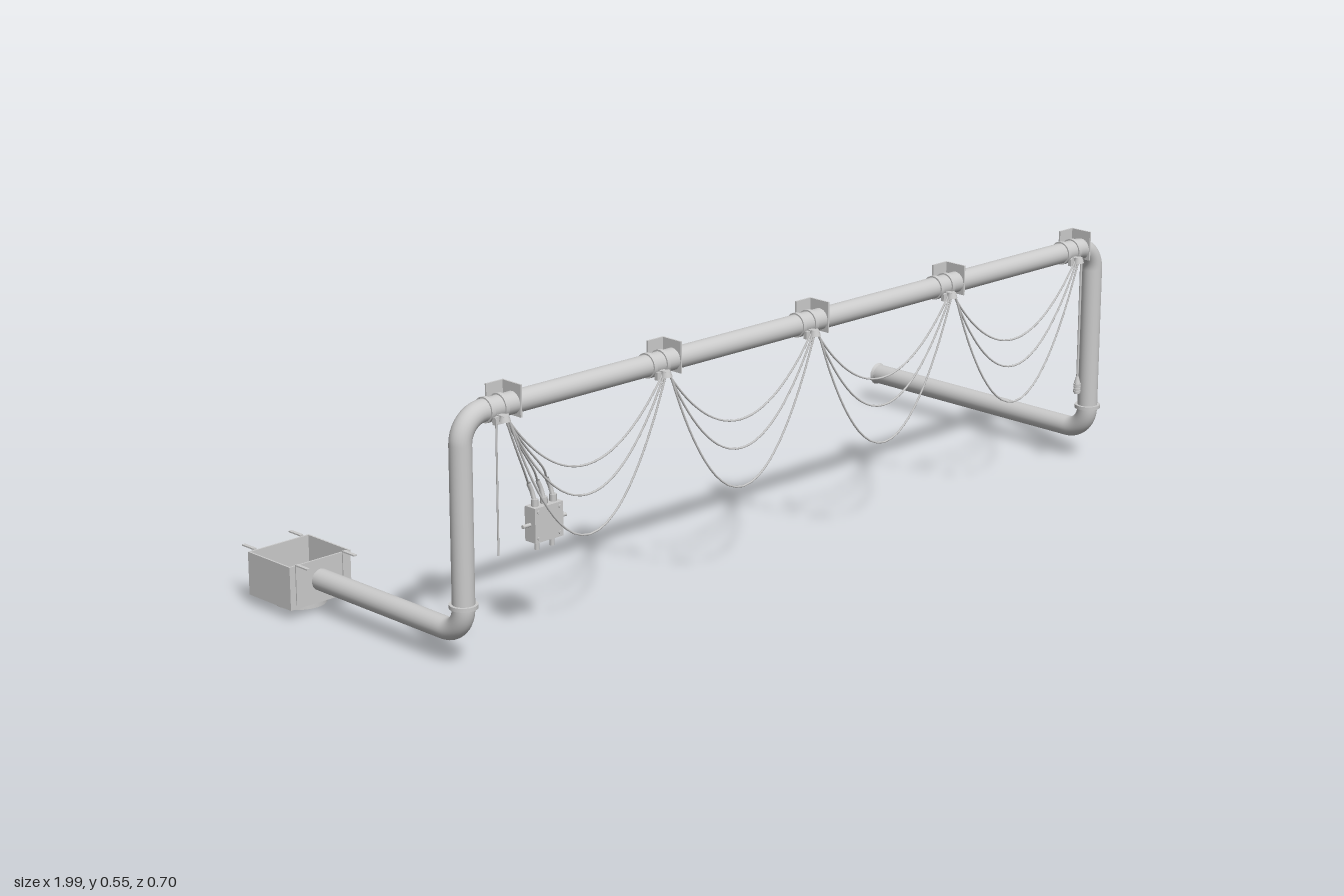
import * as THREE from 'three';

const V = (x, y, z) => new THREE.Vector3(x, y, z);
const mat = new THREE.MeshStandardMaterial({ color: 0xcccccc, side: THREE.DoubleSide });

function add(parent, name, geometry, x = 0, y = 0, z = 0) {
  const mesh = new THREE.Mesh(geometry, mat);
  mesh.name = name;
  mesh.position.set(x, y, z);
  parent.add(mesh);
  return mesh;
}
const group = (parent, name) => {
  const g = new THREE.Group();
  g.name = name;
  parent.add(g);
  return g;
};
const box = (w, h, d) => new THREE.BoxGeometry(w, h, d);
const cyl = (r, h, n = 16, r2 = r) => new THREE.CylinderGeometry(r2, r, h, n);
const cable = (pts, r = 0.0022, n = 32) =>
  new THREE.TubeGeometry(new THREE.CatmullRomCurve3(pts), n, r, 6);

// Hollow ring profile turned round the y axis
const sleeve = (ri, ro, h, n = 28) => new THREE.LatheGeometry(
  [[ri, -h / 2], [ro, -h / 2], [ro, -h / 2], [ro, h / 2], [ro, h / 2], [ri, h / 2], [ri, h / 2], [ri, -h / 2]]
    .map(p => new THREE.Vector2(...p)), n);

// Straight runs joined by rounded elbows
function bentPath(points, bend) {
  const path = new THREE.CurvePath();
  let from = points[0];
  for (let i = 1; i < points.length - 1; i++) {
    const p = points[i];
    const a = p.clone().add(points[i - 1].clone().sub(p).setLength(bend));
    const b = p.clone().add(points[i + 1].clone().sub(p).setLength(bend));
    path.add(new THREE.LineCurve3(from, a));
    // cubic handles that approximate a circular arc
    path.add(new THREE.CubicBezierCurve3(a, a.clone().lerp(p, 0.55), b.clone().lerp(p, 0.55), b));
    from = b;
  }
  path.add(new THREE.LineCurve3(from, points[points.length - 1]));
  return path;
}

const R = 0.0228, XL = -0.922, XR = 0.965, TOP = 0.51, LOW = 0.069, FRONT = 0.302;
const CLIPS = [0, 1, 2, 3, 4].map(i => -0.84 + i * 0.428);
const CABLE_Z = 0.338, CABLE_Y = 0.5;

function addPipe(root) {
  const pipe = group(root, 'pipe');
  const path = bentPath([
    V(XL, LOW, -0.155), V(XL, LOW, FRONT), V(XL, TOP, FRONT),
    V(XR, TOP, FRONT), V(XR, LOW, FRONT), V(XR, LOW, -0.345),
  ], 0.056);
  add(pipe, 'mainPipe', new THREE.TubeGeometry(path, 420, R, 24));
  for (const x of [XL, XR]) add(pipe, 'pipeCollar', sleeve(R, 0.029, 0.008), x, 0.129, FRONT);

  // Flared, dished open end
  const flare = [[R, 0], [R, 0.006], [0.026, 0.012], [0.025, 0.013], [0.017, 0.004], [0, 0]]
    .map(p => new THREE.Vector2(...p));
  add(pipe, 'pipeEnd', new THREE.LatheGeometry(flare, 24), XR, LOW, -0.337).rotation.x = -Math.PI / 2;
}

function addHanger(root, x) {
  const hanger = group(root, 'hanger');
  // Pipe clamp and cable clip
  for (const dx of [-0.018, 0.018])
    add(hanger, 'clampRing', sleeve(R, 0.026, 0.009), x + dx, TOP, FRONT).rotation.z = Math.PI / 2;
  add(hanger, 'clipArm', box(0.014, 0.008, 0.03), x, 0.498, 0.328);
  add(hanger, 'cableClip', cyl(0.012, 0.012, 12, 0.008), x, 0.497, CABLE_Z);
  add(hanger, 'clipSaddle', box(0.036, 0.016, 0.008), x, 0.492, 0.326);

  // Angle bracket behind the pipe
  add(hanger, 'bracketBack', box(0.046, 0.066, 0.004), x + 0.032, 0.517, 0.273);
  add(hanger, 'bracketSide', box(0.004, 0.066, 0.054), x + 0.053, 0.517, 0.299);
}

function addCables(root) {
  const cables = group(root, 'cables');
  const sags = [0.145, 0.205, 0.287];
  for (let i = 0; i < CLIPS.length - 1; i++) {
    sags.forEach((sag, k) => {
      const pts = [];
      for (let j = 0; j <= 12; j++) {
        const t = j / 12 * 2 - 1;
        pts.push(V(CLIPS[i] + 0.214 + t * 0.21, CABLE_Y - sag * (1 - t * t), CABLE_Z - 0.004 + k * 0.004));
      }
      add(cables, 'slackCable', cable(pts));
    });
  }
  // Straight drop at one end
  add(cables, 'dropCable', cyl(0.002, 0.275, 6), -0.862, 0.3625, CABLE_Z);

  // Pull cord with ribbed handle at the other
  const pull = group(root, 'pullHandle');
  add(pull, 'cord', cyl(0.0028, 0.28, 8), 0.881, 0.36, CABLE_Z);
  add(pull, 'handleTop', cyl(0.0075, 0.016, 12, 0.003), 0.881, 0.216, CABLE_Z);
  add(pull, 'handleCore', cyl(0.006, 0.028, 12), 0.881, 0.197, CABLE_Z);
  for (let i = 0; i < 4; i++) add(pull, 'handleRib', cyl(0.0085, 0.004, 12), 0.881, 0.205 - i * 0.0055, CABLE_Z);
}

function addJunctionBox(root) {
  const unit = group(root, 'junctionBox');
  const x = -0.702, y = 0.247, z = 0.292;
  add(unit, 'case', box(0.074, 0.072, 0.03), x, y, z);
  add(unit, 'backPlate', box(0.066, 0.064, 0.006), x, y, 0.275);
  for (const s of [-1, 1]) {
    add(unit, 'sideGland', cyl(0.004, 0.022, 8), x + s * 0.046, y, z).rotation.z = Math.PI / 2;
    add(unit, 'foot', cyl(0.005, 0.02, 8), x + s * 0.02, 0.202, z);
    for (const dy of [-0.027, 0.027])
      add(unit, 'coverScrew', cyl(0.004, 0.004, 8), x + s * 0.028, y + dy, 0.308).rotation.x = Math.PI / 2;
  }
  // Leaning glands, each fed from the first clip
  for (const dx of [-0.024, 0, 0.024]) {
    const gx = x + dx;
    add(unit, 'gland', cyl(0.0075, 0.016, 8), gx, 0.289, z);
    add(unit, 'bootedLead', cable([V(gx, 0.29, z), V(gx - 0.002, 0.312, z - 0.006), V(gx - 0.009, 0.33, z - 0.008)], 0.005, 8));
    add(unit, 'feedCable', cable([
      V(gx - 0.009, 0.328, z - 0.008), V(gx - 0.035, 0.36, z + 0.012),
      V(-0.79 + dx * 0.5, 0.425, 0.325), V(CLIPS[0], CABLE_Y, CABLE_Z),
    ]));
  }
}

function addEndBox(root) {
  const unit = group(root, 'fanBox');
  const x = XL, z = -0.208, w = 0.156, d = 0.136, y0 = 0.021, y1 = 0.113, h = y1 - y0, t = 0.004;

  // Open-topped case with a round hole in the floor
  const floor = new THREE.Shape([[-1, -1], [1, -1], [1, 1], [-1, 1]]
    .map(([a, b]) => new THREE.Vector2(a * w / 2, b * d / 2)));
  floor.holes.push(new THREE.Path().absarc(0, 0, 0.045, 0, Math.PI * 2, true));
  add(unit, 'floor', new THREE.ExtrudeGeometry(floor, { depth: t, bevelEnabled: false, curveSegments: 24 }), x, y0 + t, z)
    .rotation.x = Math.PI / 2;
  for (const s of [-1, 1]) {
    add(unit, 'sideWall', box(t, h, d), x + s * (w - t) / 2, (y0 + y1) / 2, z);
    add(unit, 'endWall', box(w, h, t), x, (y0 + y1) / 2, z + s * (d - t) / 2);
    // Hooked mounting straps
    for (const sx of [-1, 1]) {
      add(unit, 'strapLeg', box(0.008, 0.085, 0.003), x + sx * 0.06, 0.072, z + s * (d / 2 + 0.001));
      add(unit, 'strapArm', box(0.008, 0.003, 0.038), x + sx * 0.06, 0.1145, z + s * (d / 2 + 0.019));
    }
  }

  // Outlet ring with hub and spokes
  add(unit, 'outletRing', sleeve(0.045, 0.054, 0.017, 32), x, 0.0135, z);
  add(unit, 'innerRing', sleeve(0.025, 0.029, 0.006, 24), x, 0.008, z);
  add(unit, 'hub', cyl(0.008, 0.014, 16, 0.014), x, 0.007, z);
  for (let i = 0; i < 3; i++)
    add(unit, 'spoke', box(0.094, 0.004, 0.005), x, 0.01, z).rotation.y = i * Math.PI / 3;
}

export function createModel() {
  const root = new THREE.Group();
  root.name = 'cableRail';
  addPipe(root);
  CLIPS.forEach(x => addHanger(root, x));
  addCables(root);
  addJunctionBox(root);
  addEndBox(root);
  return root;
}
